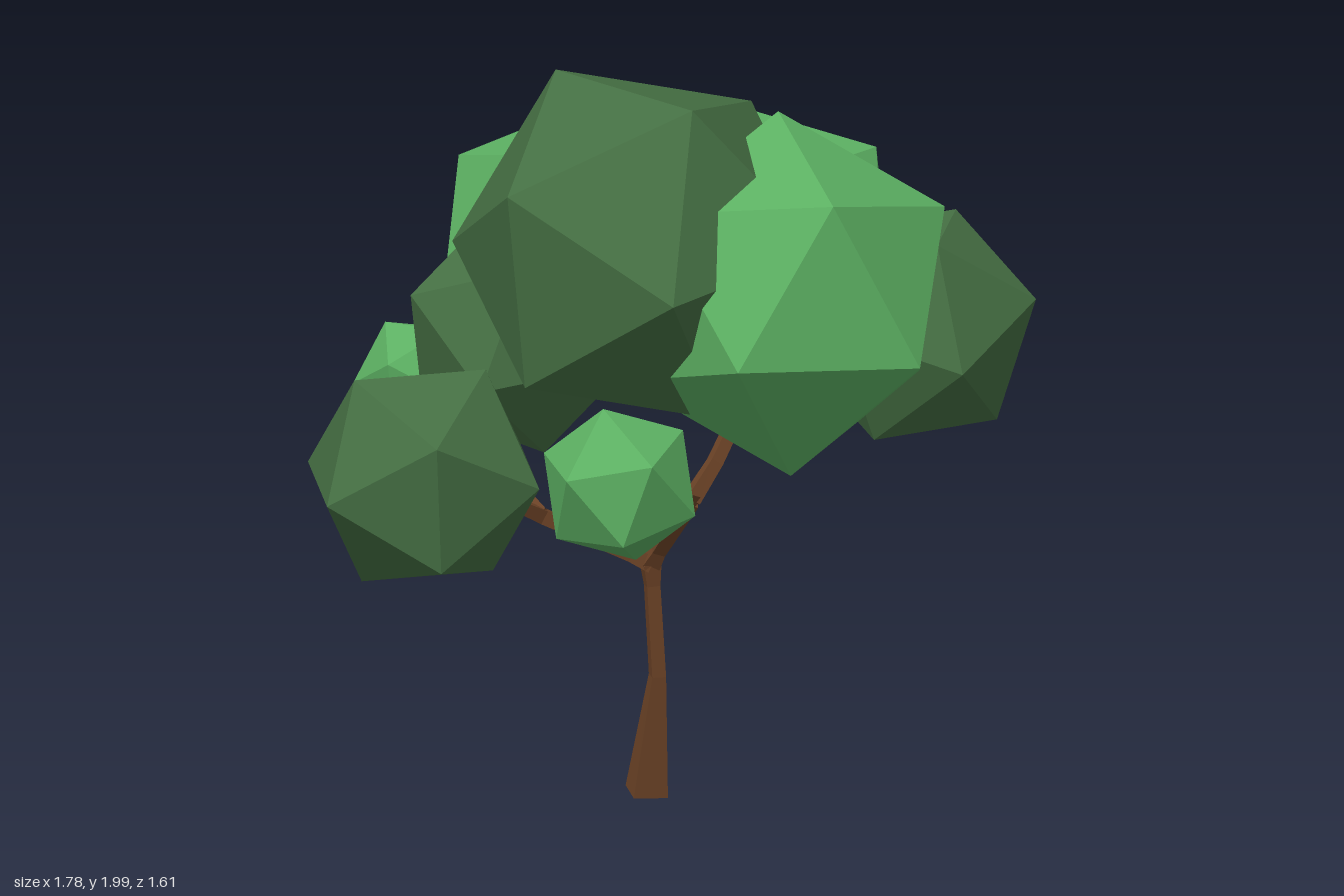
import * as THREE from 'three';

const V = (a) => new THREE.Vector3(...a);
const material = (color) => new THREE.MeshStandardMaterial({ color, flatShading: true });

// Orthonormal frame whose x axis is a, with b lying in the xy plane
function frame(a, b) {
  const x = a.clone().normalize();
  const z = x.clone().cross(b).normalize();
  return new THREE.Matrix4().makeBasis(x, z.clone().cross(x), z);
}

// Icosahedron turned so that two neighbouring corners point along a and b
const T = (1 + Math.sqrt(5)) / 2;
const cornerFrame = frame(V([-1, T, 0]), V([1, T, 0])).invert();
function leafClump(name, mat, centre, radius, a, b) {
  const geo = new THREE.IcosahedronGeometry(radius, 0);
  geo.applyMatrix4(frame(V(a), V(b)).multiply(cornerFrame));
  const mesh = new THREE.Mesh(geo, mat);
  mesh.name = name;
  mesh.position.set(...centre);
  return mesh;
}

// Four-sided limb through points [x, y, z, radius]
function limb(name, mat, points) {
  const sides = 4, n = points.length, pos = [], idx = [];
  const centres = points.map((p) => V(p.slice(0, 3)));
  centres.forEach((c, i) => {
    const dir = centres[Math.min(i + 1, n - 1)].clone().sub(centres[Math.max(i - 1, 0)]).normalize();
    const u = new THREE.Vector3(1, 0, 1).cross(dir).normalize();
    const v = dir.clone().cross(u);
    for (let j = 0; j < sides; j++) {
      const t = (j + 0.5) / sides * Math.PI * 2;
      const p = c.clone().addScaledVector(u, Math.cos(t) * points[i][3])
        .addScaledVector(v, Math.sin(t) * points[i][3]);
      pos.push(p.x, p.y, p.z);
      if (i < n - 1) {
        const k = i * sides + j, m = i * sides + (j + 1) % sides;
        idx.push(k, m, k + sides, m, m + sides, k + sides);
      }
    }
  });
  // End caps
  const e = (n - 1) * sides;
  idx.push(0, 2, 1, 0, 3, 2, e, e + 1, e + 2, e, e + 2, e + 3);
  const geo = new THREE.BufferGeometry();
  geo.setAttribute('position', new THREE.Float32BufferAttribute(pos, 3));
  geo.setIndex(idx);
  geo.computeVertexNormals();
  const mesh = new THREE.Mesh(geo, mat);
  mesh.name = name;
  return mesh;
}

export function createModel() {
  const tree = new THREE.Group();
  tree.name = 'tree';
  const bark = material(0x6b4226);
  const dark = material(0x456f43);
  const light = material(0x5cb062);

  // Trunk and branches
  const fork = [-0.09, 0.64, -0.095, 0.033];
  const rightFork = [0.07, 0.84, -0.03, 0.028];
  const leftFork = [-0.3, 0.78, 0.1, 0.027];
  const limbs = {
    trunk: [[-0.125, 0.02, -0.135, 0.064], [-0.078, 0.34, -0.11, 0.026], [-0.088, 0.58, -0.1, 0.025], fork],
    leftBranch: [fork, [-0.13, 0.665, -0.06, 0.025], leftFork],
    leftFrontTwig: [leftFork, [-0.36, 0.87, 0.27, 0.018], [-0.42, 0.95, 0.45, 0.013]],
    leftOuterTwig: [leftFork, [-0.5, 0.91, 0.04, 0.019], [-0.7, 1.04, -0.02, 0.012]],
    rightBranch: [fork, [-0.06, 0.68, -0.085, 0.025], rightFork],
    rightFrontTwig: [rightFork, [0.09, 0.89, 0.1, 0.019], [0.12, 0.98, 0.35, 0.01]],
    crownBranch: [rightFork, [0.1, 0.93, -0.1, 0.024], [0.15, 1.25, -0.35, 0.02]],
  };
  for (const [name, points] of Object.entries(limbs)) tree.add(limb(name, bark, points));

  // Leaf clumps: name, material, centre, radius, two corner directions
  const clumps = [
    ['frontCrown', dark, [0.06, 1.57, 0.22], 0.5, [-0.13, 0.2, 0.435], [-0.26, 0.43, 0]],
    ['rightCrown', light, [0.415, 1.455, 0.08], 0.47, [0.12, -0.1, 0.43], [0.28, 0.31, 0.23]],
    ['backCrown', light, [0.095, 1.44, -0.34], 0.4, [-0.13, 0.38, -0.01], [0.23, 0.275, -0.185]],
    ['leftCrown', light, [-0.42, 1.465, -0.18], 0.325, [0, 0.3, -0.12], [-0.26, 0.19, 0.02]],
    ['backLeftClump', dark, [-0.31, 1.255, -0.53], 0.31, [0.16, 0.07, -0.27], [-0.12, 0.21, -0.23]],
    ['backRightClump', dark, [0.595, 1.32, -0.275], 0.325, [0.295, 0.08, -0.12], [-0.005, 0.275, -0.18]],
    ['middleLeftClump', dark, [-0.35, 1.27, 0.13], 0.32, [-0.19, 0.12, 0.23], [-0.1, 0.29, -0.03]],
    ['lowerLeftClump', dark, [-0.41, 0.96, 0.51], 0.325, [-0.1, -0.03, 0.28], [-0.12, 0.26, 0.13]],
    ['lowerRightClump', light, [0.135, 0.99, 0.44], 0.215, [-0.2, 0.07, 0.05], [-0.02, 0.04, 0.2]],
    ['outerLeftClump', light, [-0.745, 1.06, -0.03], 0.17, [-0.09, 0.145, 0.02], [0.09, 0.145, 0.02]],
  ];
  for (const clump of clumps) tree.add(leafClump(...clump));
  return tree;
}
